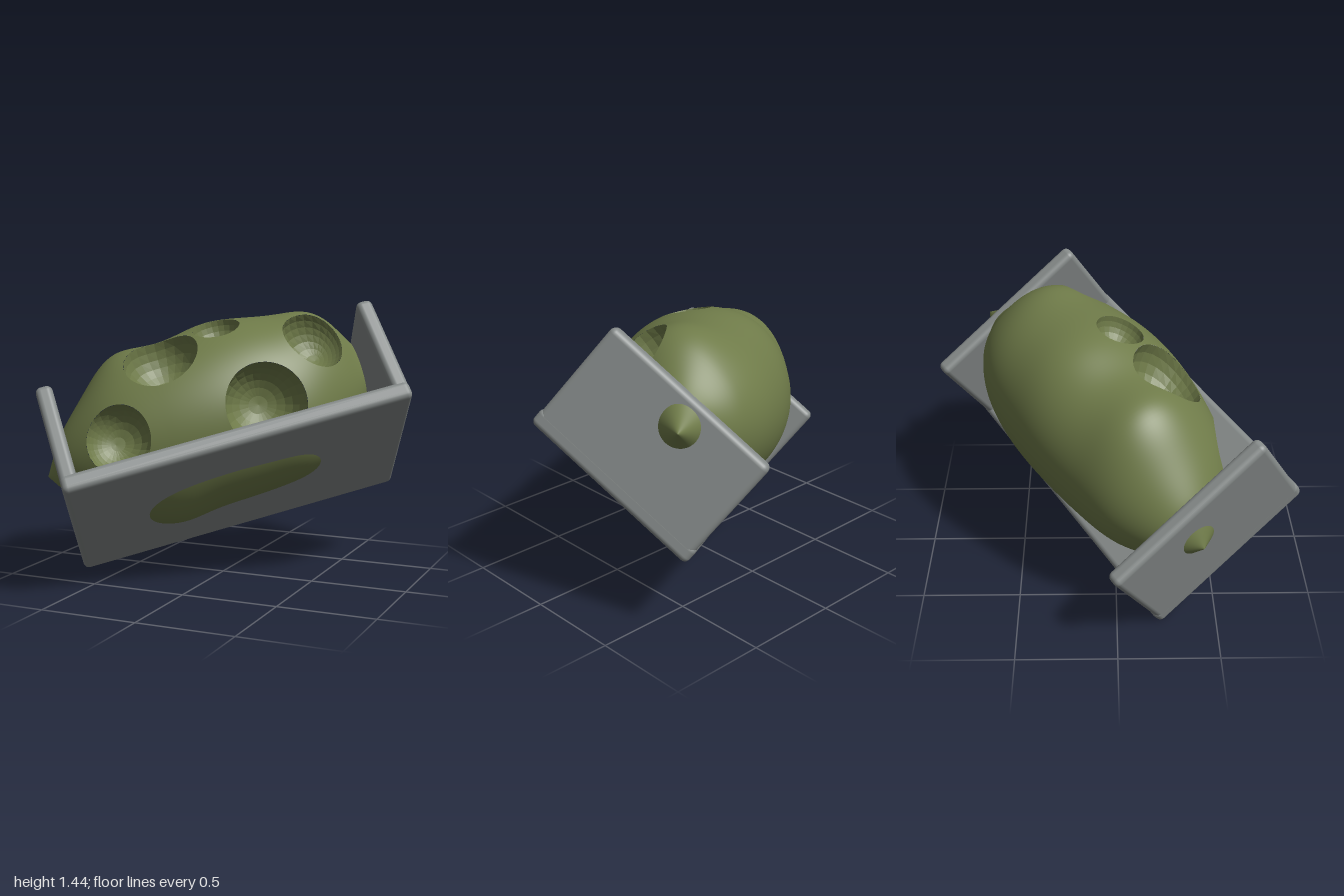
import * as THREE from 'three';
import { RoundedBoxGeometry } from 'three/addons/geometries/RoundedBoxGeometry.js';

const V = (x, y, z) => new THREE.Vector3(x, y, z);

// Half-thickness of the lump along its length (x, radius)
const profile = new THREE.CatmullRomCurve3([
  [-0.94, 0], [-0.87, 0.11], [-0.79, 0.21], [-0.58, 0.355], [-0.3, 0.43], [0.02, 0.465],
  [0.28, 0.45], [0.5, 0.39], [0.68, 0.285], [0.82, 0.15], [1.02, 0],
].map(([x, r]) => V(x, r, 0))).getPoints(200);

function profileAt(x) {
  for (let i = 1; i < profile.length; i++) {
    const a = profile[i - 1], b = profile[i];
    if (x <= b.x && x >= a.x) return a.y + (b.y - a.y) * (x - a.x) / (b.x - a.x || 1);
  }
  return 0;
}

// Blunt corners of the lump: position along it, angle round it, relative height
const corners = [
  [-0.46, 0.36, 0.2], [0.06, 0.1, 0.07], [0.68, 0.85, 0.25],
  [-0.36, Math.PI + 0.4, 0.12], [0.42, Math.PI - 0.25, 0.09],
];

function radiusAt(x, angle) {
  let scale = 1;
  for (const [cx, ca, h] of corners) {
    scale += h * Math.exp(-(((x - cx) / 0.19) ** 2) - 5 * (1 - Math.cos(angle - ca)));
  }
  return profileAt(x) * scale;
}

// Slightly bent centre line of the lump
const centreAt = (x) => V(x, 0.42 + 0.045 * x, 0.02 - 0.09 * x * x);

// Point on the skin at a position along the lump and an angle round it
const skinPoint = (x, angle) => centreAt(x).add(
  V(0, Math.cos(angle), Math.sin(angle)).multiplyScalar(radiusAt(x, angle)));

function angleOf(p) {
  const mid = centreAt(p.x);
  return Math.atan2(p.z - mid.z, p.y - mid.y);
}
const inside = (p) => p.distanceTo(centreAt(p.x)) < radiusAt(p.x, angleOf(p));

// Craters: centre and radius
const craters = [
  [-0.564, 0.272, 0.33, 0.18],
  [-0.228, 0.619, 0.376, 0.2],
  [0.093, 0.728, 0.36, 0.125],
  [0.562, 0.523, 0.362, 0.175],
  [0.195, 0.212, 0.382, 0.215],
].map(([x, y, z, r]) => ({ c: V(x, y, z), r }));

// Closed rings joined into one surface; keep() may drop triangles
function ringSurface(points, rows, cols, keep = () => true) {
  const index = [];
  for (let i = 0; i < rows; i++) {
    for (let j = 0; j < cols; j++) {
      const k = (j + 1) % cols;
      const a = i * cols + j, b = i * cols + k, c = a + cols, d = b + cols;
      for (const tri of [[a, b, c], [b, d, c]]) if (keep(tri)) index.push(...tri);
    }
  }
  const geometry = new THREE.BufferGeometry().setFromPoints(points);
  geometry.setIndex(index);
  return geometry;
}

// Outer skin with openings whose edges follow the crater spheres
function skinGeometry() {
  const rows = 130, cols = 150, points = [], hole = [];
  for (let i = 0; i <= rows; i++) {
    const x = 0.04 - 0.98 * Math.cos(Math.PI * i / rows);
    for (let j = 0; j < cols; j++) {
      let p = skinPoint(x, j / cols * Math.PI * 2);
      const id = craters.findIndex((k) => p.distanceTo(k.c) < k.r);
      for (let n = 0; id >= 0 && n < 6; n++) {
        const { c, r } = craters[id];
        p.sub(c).setLength(r).add(c);
        p = skinPoint(p.x, angleOf(p));
      }
      points.push(p);
      hole.push(id);
    }
  }
  const geometry = ringSurface(points, rows, cols, (tri) => tri.some((v) => hole[v] < 0));
  geometry.computeVertexNormals();
  return geometry;
}

// Faceted bowl, trimmed where its sphere meets the skin
function bowlGeometry({ c, r }) {
  const rows = 7, cols = 24, points = [], rim = [];
  const out = c.clone().sub(centreAt(c.x)).normalize();
  const turn = new THREE.Quaternion().setFromUnitVectors(V(0, 1, 0), out);
  const at = (psi, phi) => V(
    Math.sin(psi) * Math.cos(phi), -Math.cos(psi), Math.sin(psi) * Math.sin(phi),
  ).multiplyScalar(r).applyQuaternion(turn).add(c);
  for (let j = 0; j < cols; j++) {
    let lo = 0.3, hi = 2.6;
    for (let n = 0; n < 25; n++) {
      const m = (lo + hi) / 2;
      if (inside(at(m, j / cols * Math.PI * 2))) lo = m; else hi = m;
    }
    rim.push(lo);
  }
  for (let i = 0; i <= rows; i++) {
    for (let j = 0; j < cols; j++) points.push(at(rim[j] * i / rows, j / cols * Math.PI * 2));
  }
  const geometry = ringSurface(points, rows, cols).toNonIndexed();
  geometry.computeVertexNormals();
  return geometry;
}

export function createModel() {
  const metal = new THREE.MeshStandardMaterial({ color: 0x858a89 });
  metal.name = 'grey metal';
  const rock = new THREE.MeshStandardMaterial({ color: 0x6f7b49 });
  rock.name = 'olive rock';

  const model = new THREE.Group();
  model.name = 'crateredLumpInBracket';
  const tilted = new THREE.Group();
  tilted.name = 'tiltedAssembly';
  model.add(tilted);

  const add = (name, geometry, material, parent = tilted) => {
    const mesh = new THREE.Mesh(geometry, material);
    mesh.name = name;
    parent.add(mesh);
    return mesh;
  };

  // Bracket: floor plate and two end plates
  add('basePlate', new RoundedBoxGeometry(1.77, 0.095, 0.975, 3, 0.03), metal).position.y = 0.038;
  for (const side of [-1, 1]) {
    const plate = add(side > 0 ? 'leftEndPlate' : 'rightEndPlate',
      new RoundedBoxGeometry(0.085, 0.575, 0.96, 3, 0.03), metal);
    plate.position.set(side * 0.842, 0.312, 0);
  }

  // Cratered lump
  const lump = new THREE.Group();
  lump.name = 'lump';
  tilted.add(lump);
  add('lumpSkin', skinGeometry(), rock, lump);
  craters.forEach((k, i) => add('crater' + (i + 1), bowlGeometry(k), rock, lump));

  // Tilt of the whole assembly
  const along = V(0.805, 0.243, -0.542).normalize();
  const up = V(0.317, 0.597, 0.737).cross(along).normalize();
  const front = along.clone().cross(up);
  tilted.quaternion.setFromRotationMatrix(new THREE.Matrix4().makeBasis(along, up, front));
  tilted.position.set(0.147, 0.495, 0.102);
  return model;
}
